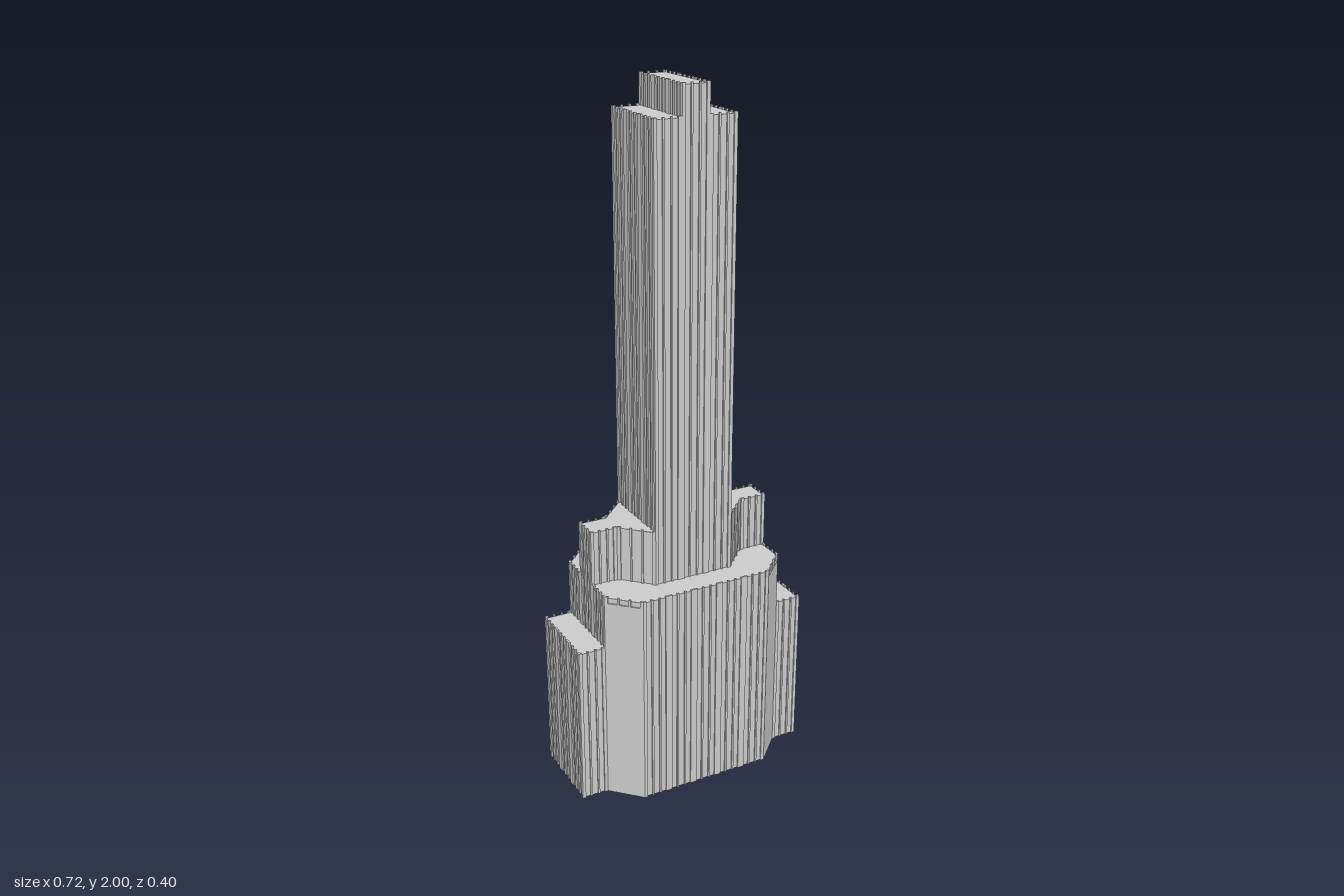
import * as THREE from 'three';

const DEPTH = 0.004; // how far the panels sit behind the posts
const LIP = 0.005;   // how far the posts rise above the roofs

export function createModel() {
  const model = new THREE.Group();
  model.name = 'steppedTower';
  const material = new THREE.MeshStandardMaterial({
    color: 0xcccccc, flatShading: true, side: THREE.DoubleSide,
  });

  const add = (parent, name, geometry, x, y, z) => {
    const mesh = new THREE.Mesh(geometry, material);
    mesh.name = name;
    mesh.position.set(x, y, z);
    parent.add(mesh);
  };

  // Recessed panel with a row of vertical posts, running from a to b
  // with the outside on the side of local +z
  function wall(parent, name, [ax, az], [bx, bz], y0, y1, plainTo = 0) {
    const dx = bx - ax, dz = bz - az, length = Math.hypot(dx, dz);
    const group = new THREE.Group();
    group.name = name;
    group.position.set((ax + bx) / 2, 0, (az + bz) / 2);
    group.rotation.y = Math.atan2(-dz, dx);
    parent.add(group);

    const low = y0 > 0 ? y0 - LIP : 0, top = y1 - LIP;
    add(group, 'panel', new THREE.PlaneGeometry(length, top - low), 0, (top + low) / 2, -DEPTH);

    const post = (x, width) => add(group, 'post',
      new THREE.BoxGeometry(width, y1 - low, DEPTH + 0.002), x, (y1 + low) / 2, -(DEPTH + 0.002) / 2);
    const bays = Math.max(1, Math.round(length / 0.08)), bay = length / bays;
    for (let i = 0; i < bays; i++) {
      const start = -length / 2 + i * bay;
      post(start + 0.005, 0.01);
      post(start + bay - 0.005, 0.01);
      for (const s of [-1, 1]) post(start + bay / 2 + s * bay * 0.147, 0.0055);
    }
    // Plain facing that covers the grooves up to a given height
    if (plainTo) add(group, 'facing', new THREE.BoxGeometry(length, plainTo, DEPTH), 0, plainTo / 2, -DEPTH / 2);
  }

  // Flat roof from a plan outline of [x, z] points
  function roof(parent, name, points, y) {
    const shape = new THREE.Shape(points.map(([x, z]) => new THREE.Vector2(x, -z)));
    const geometry = new THREE.ShapeGeometry(shape).rotateX(-Math.PI / 2);
    add(parent, name, geometry, 0, y - LIP, 0);
  }
  const rect = (x0, x1, z) => [[x0, z], [x1, z], [x1, -z], [x0, -z]];

  // The plan repeats under a half turn
  for (const turn of [0, Math.PI]) {
    const half = new THREE.Group();
    half.name = turn ? 'backHalf' : 'frontHalf';
    half.rotation.y = turn;
    model.add(half);

    // Broad base with cut corners
    wall(half, 'baseWall', [-0.2, 0.2], [0.2, 0.2], 0, 0.64);
    wall(half, 'baseCorner', [0.2, 0.2], [0.28, 0.12], 0, 0.64, 0.62);
    wall(half, 'baseCorner', [-0.28, 0.12], [-0.2, 0.2], 0, 0.64, 0.62);
    wall(half, 'baseEnd', [0.28, 0.12], [0.28, -0.12], 0.48, 0.64);
    roof(half, 'baseRoof', [
      [-0.276, 0.118], [-0.198, 0.196], [0.198, 0.196], [0.276, 0.118], [0.276, 0.035],
      [0.198, 0.035], [0.117, 0.116], [-0.117, 0.116], [-0.198, 0.035], [-0.276, 0.035],
    ], 0.64);

    // Low end wing
    const wing = [[0.28, 0.12], [0.36, 0.12], [0.36, -0.12], [0.28, -0.12]];
    for (let i = 0; i < 3; i++) wall(half, 'wingWall', wing[i], wing[i + 1], 0, 0.48);
    roof(half, 'wingRoof', rect(0.275, 0.356, 0.116), 0.48);

    // Tapered shoulder beside the shaft
    const shoulder = [[0.12, 0.12], [0.2, 0.04], [0.28, 0.04], [0.28, -0.04], [0.2, -0.04], [0.12, -0.12]];
    for (let i = 0; i < 5; i++) wall(half, 'shoulderWall', shoulder[i], shoulder[i + 1], 0.64, 0.8);
    roof(half, 'shoulderRoof', [
      [0.115, 0.118], [0.198, 0.036], [0.276, 0.036], [0.276, -0.036], [0.198, -0.036], [0.115, -0.118],
    ], 0.8);

    // Tall shaft
    wall(half, 'shaftFace', [-0.12, 0.12], [0.12, 0.12], 0.64, 1.92);
    wall(half, 'shaftSide', [0.12, 0.12], [0.12, -0.12], 0.8, 1.92);
    roof(half, 'shaftRoof', rect(0.035, 0.116, 0.116), 1.92);

    // Narrow crown
    wall(half, 'crownFace', [-0.04, 0.12], [0.04, 0.12], 1.92, 2);
    wall(half, 'crownSide', [0.04, 0.12], [0.04, -0.12], 1.92, 2);
  }
  roof(model, 'crownRoof', rect(-0.036, 0.036, 0.116), 2);

  return model;
}
